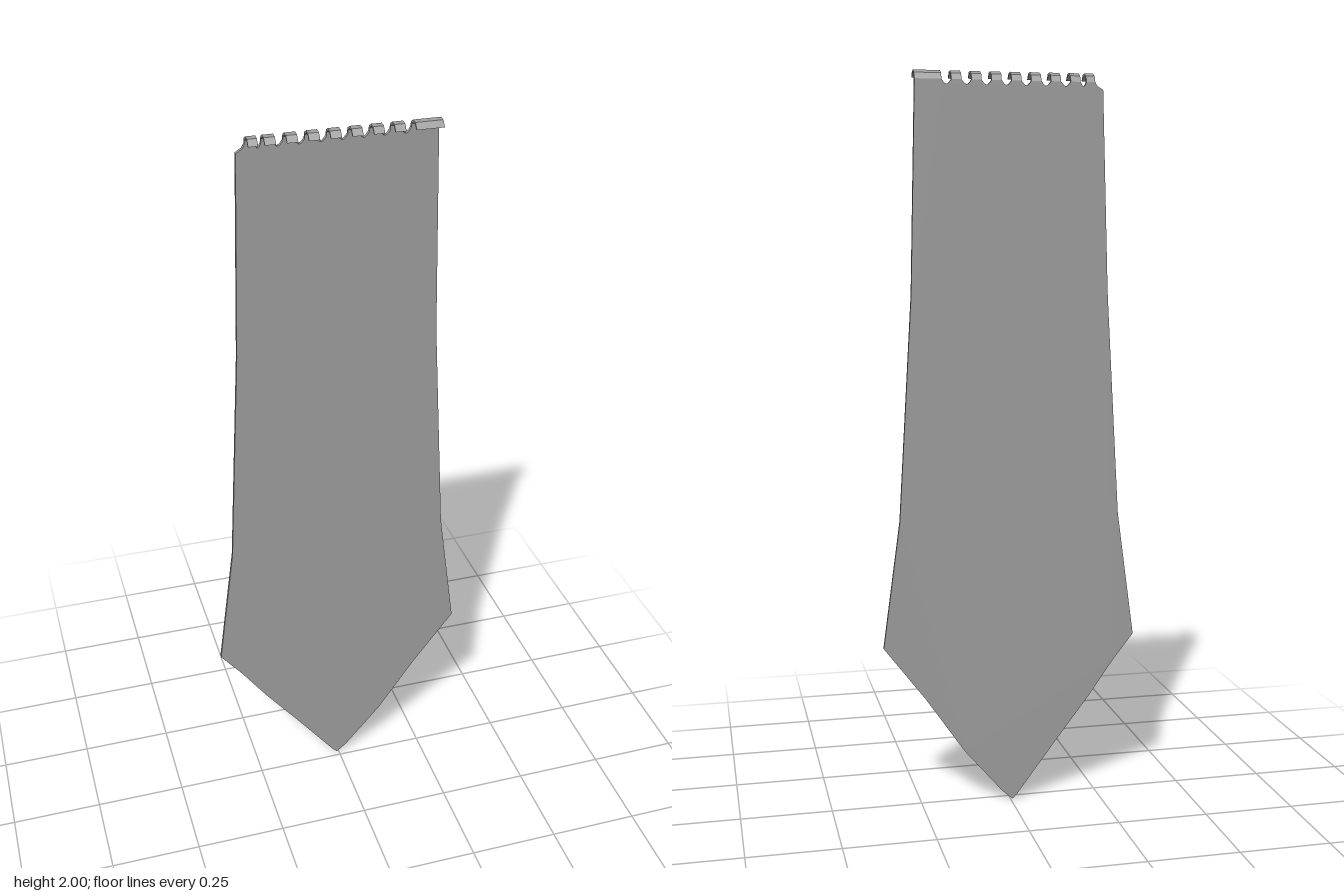
import * as THREE from 'three';

const BACK = -0.025, THICK = 0.01, TOP = 1.976;

// x ranges of the curled tabs, from right to left
const tabs = [[0.184, 0.255]];
for (let i = 0; i < 7; i++) tabs.push([0.131 - i * 0.0535, 0.158 - i * 0.0535]);
tabs.push([-0.23, -0.206]);

export function createModel() {
  const group = new THREE.Group();
  const material = new THREE.MeshStandardMaterial({ color: 0x9d9d9d, flatShading: true });

  // Pointed cloth panel, widening towards the bottom
  const outline = new THREE.Shape();
  outline.moveTo(-0.006, 0);
  [[0.022, 0.024], [0.13, 0.15], [0.24, 0.31], [0.354, 0.46], [0.306, 0.81],
    [0.269, 1.42], [0.255, TOP]].forEach(([x, y]) => outline.lineTo(x, y));

  // Top edge with rounded notches between the tabs
  tabs.forEach(([left], i) => {
    outline.lineTo(left, TOP);
    if (i === tabs.length - 1) return;
    const right = tabs[i + 1][1];
    for (let k = 1; k <= 5; k++) {
      const t = k / 6;
      outline.lineTo(left + (right - left) * t, TOP - 0.012 * Math.sin(Math.PI * t));
    }
    outline.lineTo(right, TOP);
  });
  [[-0.236, 1.966], [-0.252, 1.956], [-0.27, 1.42], [-0.306, 0.81], [-0.354, 0.46],
    [-0.295, 0.385], [-0.225, 0.285], [-0.125, 0.155], [-0.02, 0.015]].forEach(([x, y]) => outline.lineTo(x, y));
  outline.closePath();

  const panelGeometry = new THREE.ExtrudeGeometry(outline, { depth: THICK, bevelEnabled: false });
  panelGeometry.translate(0, 0, BACK);
  const panel = new THREE.Mesh(panelGeometry, material);
  panel.name = 'panel';
  group.add(panel);

  // Side section of a tab, curling forward over the hanging rail (z, y)
  const section = new THREE.Shape([
    [BACK, TOP], [BACK + THICK, TOP], [-0.015, 1.986], [-0.002, 1.995], [0.01, 1.993],
    [0.02, 1.982], [0.025, 1.983], [0.013, 1.998], [-0.003, 2], [-0.018, 1.992],
  ].map(([z, y]) => new THREE.Vector2(z, y)));

  const tabGroup = new THREE.Group();
  tabGroup.name = 'hangingTabs';
  tabs.forEach(([left, right]) => {
    const geometry = new THREE.ExtrudeGeometry(section, { depth: right - left, bevelEnabled: false });
    geometry.rotateY(-Math.PI / 2);
    geometry.translate(right, 0, 0);
    const tab = new THREE.Mesh(geometry, material);
    tab.name = 'hangingTab';
    tabGroup.add(tab);
  });
  group.add(tabGroup);

  return group;
}
